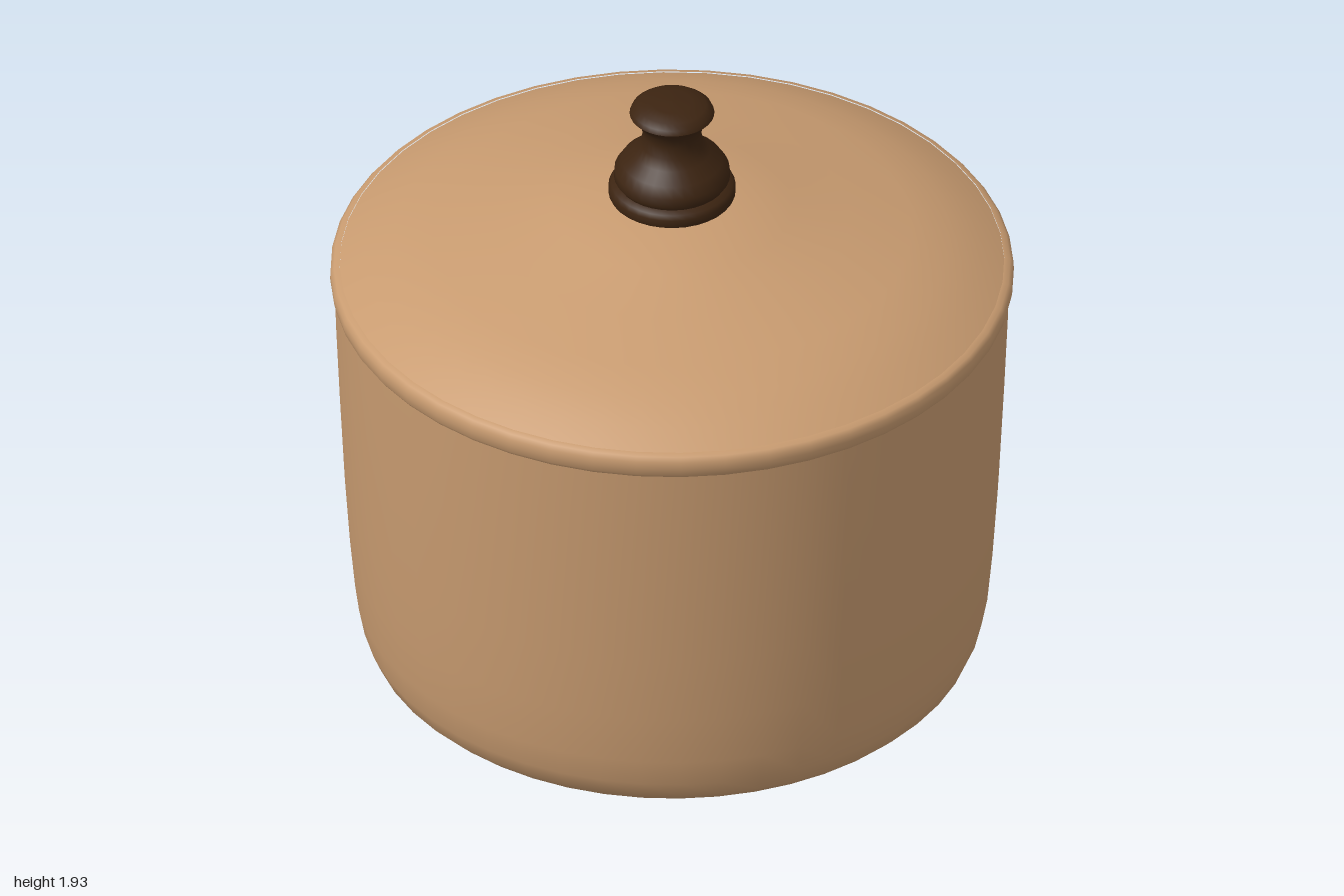
import * as THREE from 'three';

const clay = new THREE.MeshStandardMaterial({ color: 0xc89b70 });
clay.name = 'tan clay';
const wood = new THREE.MeshStandardMaterial({ color: 0x3c2411 });
wood.name = 'dark wood';

// Turns a profile of [radius, height] points, listed from bottom to top
function turned(name, profile, material, segments = 48) {
  const points = profile.map(([r, y]) => new THREE.Vector2(r, y));
  const mesh = new THREE.Mesh(new THREE.LatheGeometry(points, segments), material);
  mesh.name = name;
  return mesh;
}

export function createModel() {
  const model = new THREE.Group();
  model.name = 'lidded pot';

  // Pot with a slightly domed base, rounded heel and flaring wall
  model.add(turned('base', [[0, 0], [0.4, 0.007], [0.78, 0.018]], clay));
  model.add(turned('potWall', [
    [0.78, 0.018], [0.85, 0.04], [0.885, 0.075], [0.908, 0.13], [0.925, 0.22],
    [0.94, 0.38], [0.955, 0.6], [0.97, 0.9], [0.98, 1.13], [0.985, 1.28],
  ], clay));

  // Rounded rim band that carries the lid
  model.add(turned('rim', [
    [0.985, 1.28], [0.993, 1.292], [0.998, 1.315], [0.997, 1.338],
    [0.987, 1.351], [0.97, 1.356],
  ], clay));

  // Shallow lid rising to the knob
  model.add(turned('lid', [
    [0.97, 1.353], [0.9, 1.395], [0.81, 1.437], [0.7, 1.474],
    [0.52, 1.517], [0.35, 1.561], [0.185, 1.605], [0, 1.608],
  ], clay));

  // Turned knob: foot ring, bulb, waist and flared cap
  const knob = new THREE.Group();
  knob.name = 'knob';
  knob.add(turned('knobFoot', [
    [0.18, 1.6], [0.186, 1.612], [0.186, 1.632], [0.178, 1.645], [0.16, 1.652],
  ], wood, 32));
  knob.add(turned('knobStem', [
    [0.16, 1.652], [0.17, 1.668], [0.168, 1.694], [0.148, 1.725], [0.112, 1.755],
    [0.092, 1.785], [0.085, 1.82], [0.092, 1.85], [0.108, 1.872], [0.124, 1.89],
  ], wood, 32));
  knob.add(turned('knobCap', [
    [0.124, 1.89], [0.118, 1.904], [0.1, 1.918], [0.06, 1.928], [0, 1.931],
  ], wood, 32));
  model.add(knob);

  return model;
}
